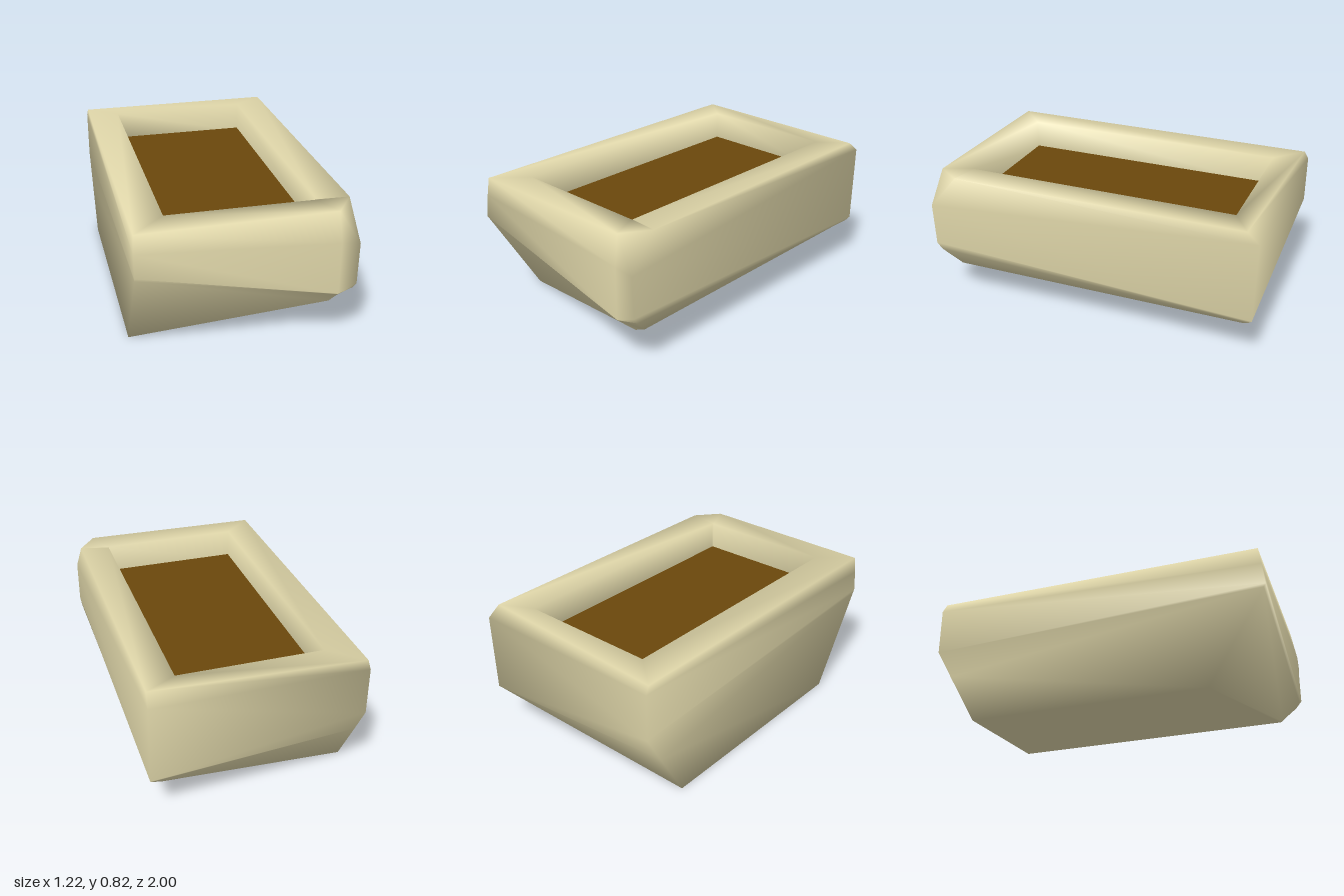
import * as THREE from 'three';

const cream = new THREE.MeshStandardMaterial({ color: 0xdfd6a9 });
cream.name = 'cream';
const soilBrown = new THREE.MeshStandardMaterial({ color: 0x6a470b });
soilBrown.name = 'soil brown';

// Joins loops of corners into a smooth skin and closes the last loop
function skin(loops) {
  const n = loops[0].length;
  const last = (loops.length - 1) * n;
  const index = [];
  for (let i = 0; i < last; i += n) {
    for (let j = 0; j < n; j++) {
      const a = i + j, b = i + ((j + 1) % n), c = b + n, d = a + n;
      index.push(a, d, c, a, c, b);
    }
  }
  for (let j = 1; j < n - 1; j++) index.push(last, last + j + 1, last + j);
  const geometry = new THREE.BufferGeometry();
  geometry.setAttribute('position', new THREE.Float32BufferAttribute(loops.flat(2), 3));
  geometry.setIndex(index);
  geometry.computeVertexNormals();
  return geometry;
}

// Opening corners at one height
const opening = (y) => [
  [-0.42, y, 0.8], [0.415, y, 0.8], [0.42, y, 0.795], [0.42, y, -0.82], [-0.42, y, -0.82],
];

export function createModel() {
  const model = new THREE.Group();
  model.name = 'planter';

  // Each loop: front left, front right twice for its cut corner, back right, back left
  const shell = new THREE.Mesh(skin([
    // inner wall
    opening(0.62),
    opening(0.812),
    // rim
    [[-0.605, 0.805, 0.97], [0.49, 0.815, 0.97], [0.6, 0.82, 0.82], [0.6, 0.82, -0.93], [-0.605, 0.805, -0.975]],
    // upper walls
    [[-0.61, 0.7, 0.985], [0.5, 0.64, 1], [0.61, 0.62, 0.99], [0.61, 0.76, -1], [-0.61, 0.76, -1]],
    [[-0.61, 0.57, 1], [0.5, 0.33, 1], [0.61, 0.37, 0.98], [0.61, 0.29, -0.99], [-0.61, 0.48, -1]],
    // tight front crease, then tapered lower walls
    [[-0.61, 0.55, 0.988], [0.5, 0.32, 0.988], [0.605, 0.33, 0.95], [0.595, 0.268, -0.97], [-0.61, 0.3, -0.9]],
    // slanted foot
    [[-0.61, 0, 0.66], [0.5, 0.21, 0.87], [0.55, 0.225, 0.85], [0.53, 0.215, -0.92], [-0.61, 0, -0.73]],
  ]), cream);
  shell.name = 'shell';
  model.add(shell);

  // Soil
  const soil = new THREE.Mesh(new THREE.BoxGeometry(0.84, 0.02, 1.62), soilBrown);
  soil.name = 'soil';
  soil.position.set(0, 0.632, -0.01);
  model.add(soil);

  return model;
}
